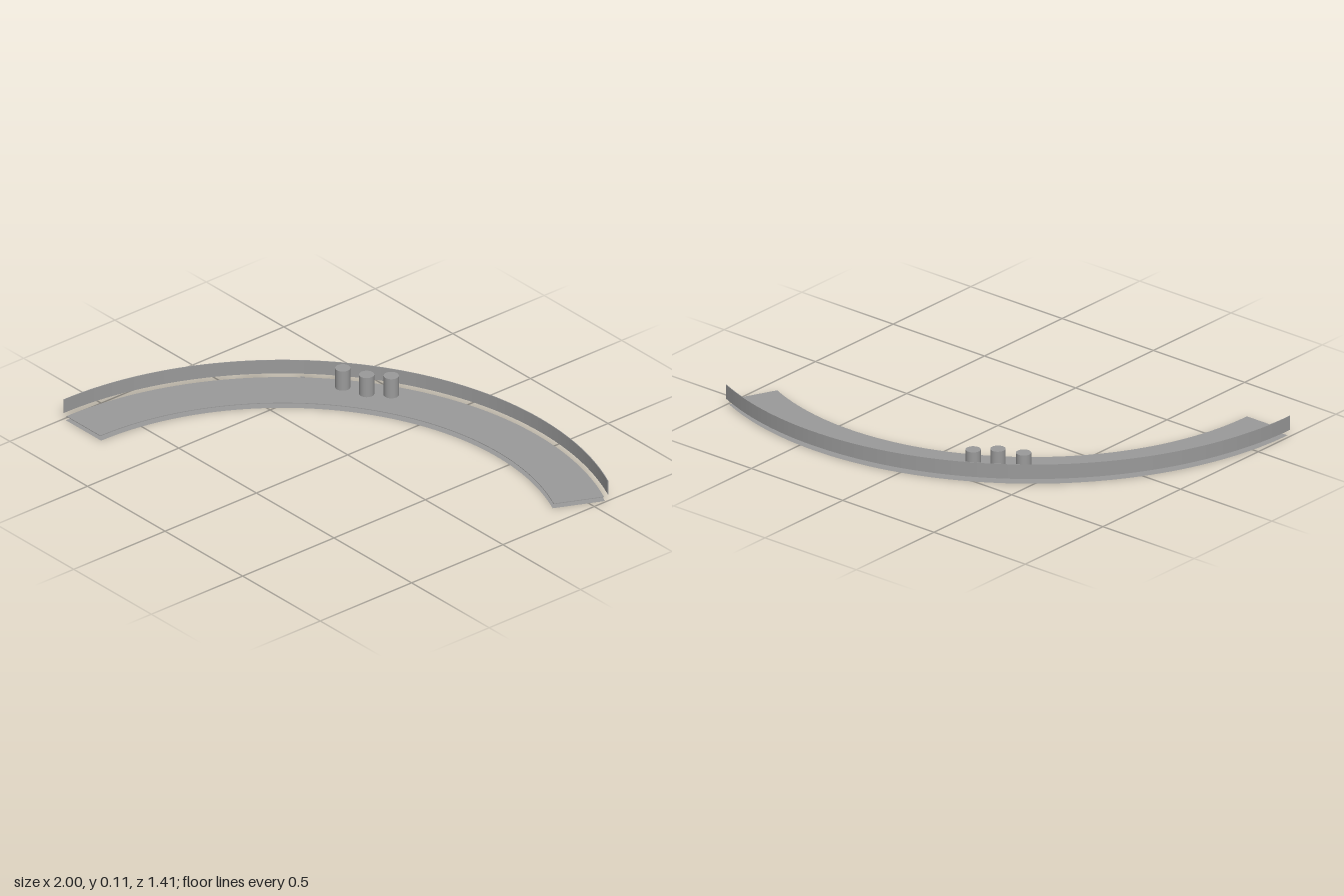
import * as THREE from 'three';

const SWEEP = 2;              // arc length in radians
const CX = 0.412, CZ = 0.706; // centre of the arc
const SEGMENTS = 64;

export function createModel() {
  const group = new THREE.Group();
  const grey = new THREE.MeshStandardMaterial({ color: 0x9a9a9a, side: THREE.DoubleSide });

  const add = (name, geometry, x, y, z) => {
    const mesh = new THREE.Mesh(geometry, grey);
    mesh.name = name;
    mesh.position.set(x, y, z);
    group.add(mesh);
    return mesh;
  };

  // Curved slab between two radii, from height y upwards
  const arcSlab = (name, inner, outer, y, height) => {
    const shape = new THREE.Shape();
    shape.absarc(0, 0, outer, Math.PI - SWEEP, Math.PI, false);
    shape.absarc(0, 0, inner, Math.PI, Math.PI - SWEEP, true);
    const geometry = new THREE.ExtrudeGeometry(shape,
      { depth: height, bevelEnabled: false, curveSegments: SEGMENTS });
    geometry.rotateX(-Math.PI / 2);
    add(name, geometry, CX, y, CZ);
  };

  // Thin floor, and a thin wall standing just outside it
  arcSlab('floor', 1.175, 1.392, 0.019, 0.003);
  arcSlab('outerWall', 1.409, 1.412, 0.03, 0.064);

  // Flat sheet underneath the floor
  const base = new THREE.RingGeometry(1.17, 1.397, SEGMENTS, 1, Math.PI - SWEEP, SWEEP);
  base.rotateX(-Math.PI / 2);
  add('base', base, CX, 0, CZ);

  // Three round posts
  const posts = [[-0.423, -0.332], [-0.316, -0.372], [-0.242, -0.444]];
  posts.forEach(([x, z], i) =>
    add('post' + (i + 1), new THREE.CylinderGeometry(0.032, 0.032, 0.095, 32), x, 0.066, z));

  // Small tab at the edge of the floor
  const tab = add('tab', new THREE.BoxGeometry(0.016, 0.003, 0.006), -0.596, 0.0225, -0.258);
  tab.rotation.y = Math.PI / 4;

  return group;
}
